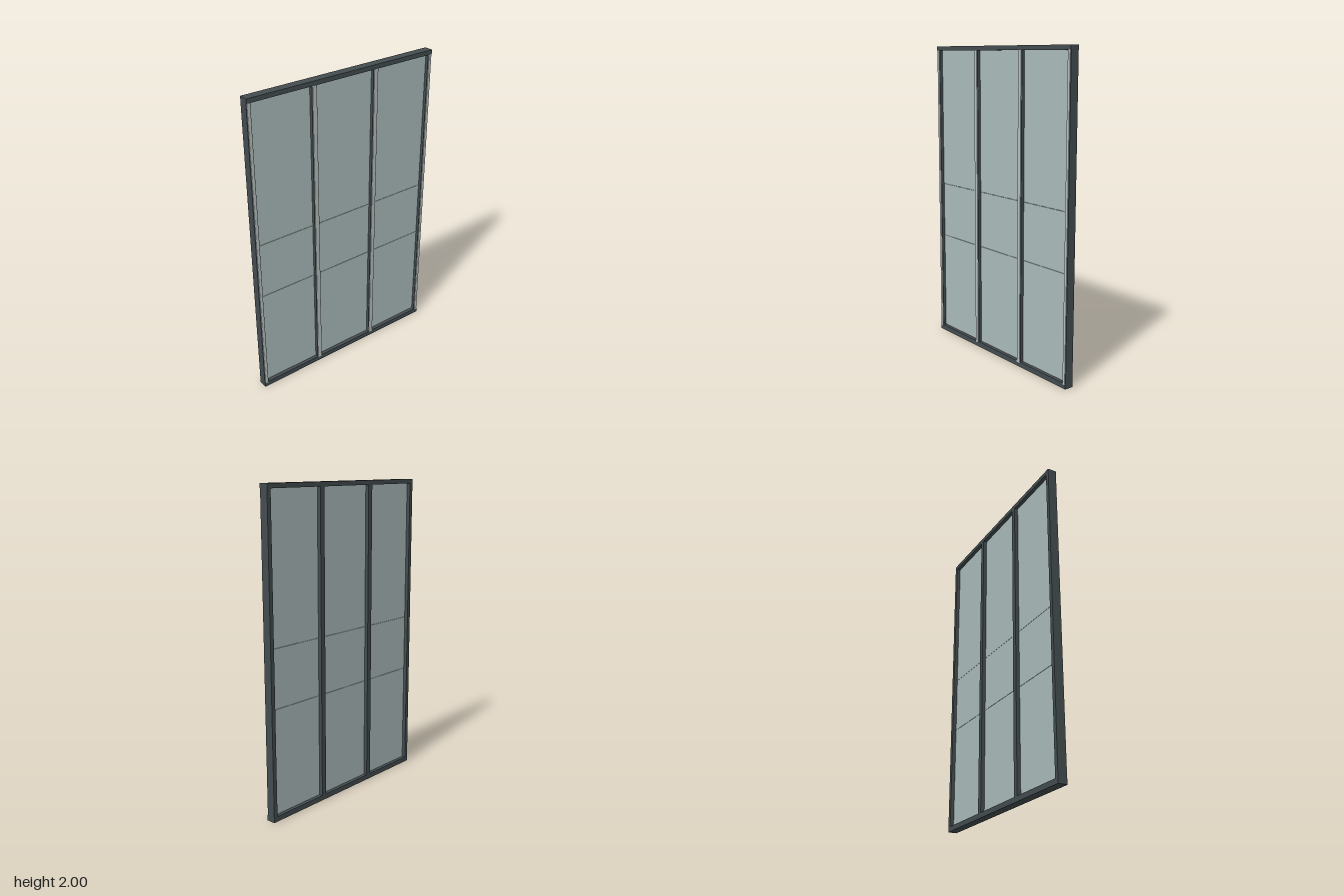
import * as THREE from 'three';

export function createModel() {
  const group = new THREE.Group();
  group.name = 'glazedScreen';
  const frame = new THREE.MeshStandardMaterial({ color: 0x444d50 });
  frame.name = 'dark frame';
  const glass = new THREE.MeshStandardMaterial({ color: 0xacbcbc });
  glass.name = 'pale glass';
  const trim = new THREE.MeshStandardMaterial({ color: 0xb6c0be });
  trim.name = 'light trim';

  // Box given by its lower and upper corners
  function box(name, material, [x0, y0, z0], [x1, y1, z1]) {
    const mesh = new THREE.Mesh(new THREE.BoxGeometry(x1 - x0, y1 - y0, z1 - z0), material);
    mesh.position.set((x0 + x1) / 2, (y0 + y1) / 2, (z0 + z1) / 2);
    mesh.name = name;
    group.add(mesh);
  }

  const W = 0.665, D = 0.029, bottom = 0.033, top = 1.972;

  // Head and sill rails
  box('sillRail', frame, [-W, 0, -D], [W, bottom, D]);
  box('headRail', frame, [-W, top, -D], [W, 2, D]);

  // Uprights, each with a light strip on its front
  const posts = [[-W, -0.638], [-0.24, -0.205], [0.205, 0.24], [0.638, W]];
  for (const [a, b] of posts) {
    box('upright', frame, [a, bottom, -D], [b, top, D - 0.003]);
    box('uprightTrim', trim, [a + 0.004, bottom - 0.007, D - 0.004], [b - 0.004, top, D + 0.001]);
  }

  // Three bays of glass, each in three panes with fine joints
  const levels = [bottom, 0.695, 1.063, top], gap = 0.001;
  for (let i = 0; i < 3; i++) {
    for (let j = 0; j < 3; j++) {
      box('glassPane', glass,
        [posts[i][1], levels[j] + (j > 0 ? gap : 0), -0.005],
        [posts[i + 1][0], levels[j + 1] - (j < 2 ? gap : 0), 0.005]);
    }
  }
  return group;
}
